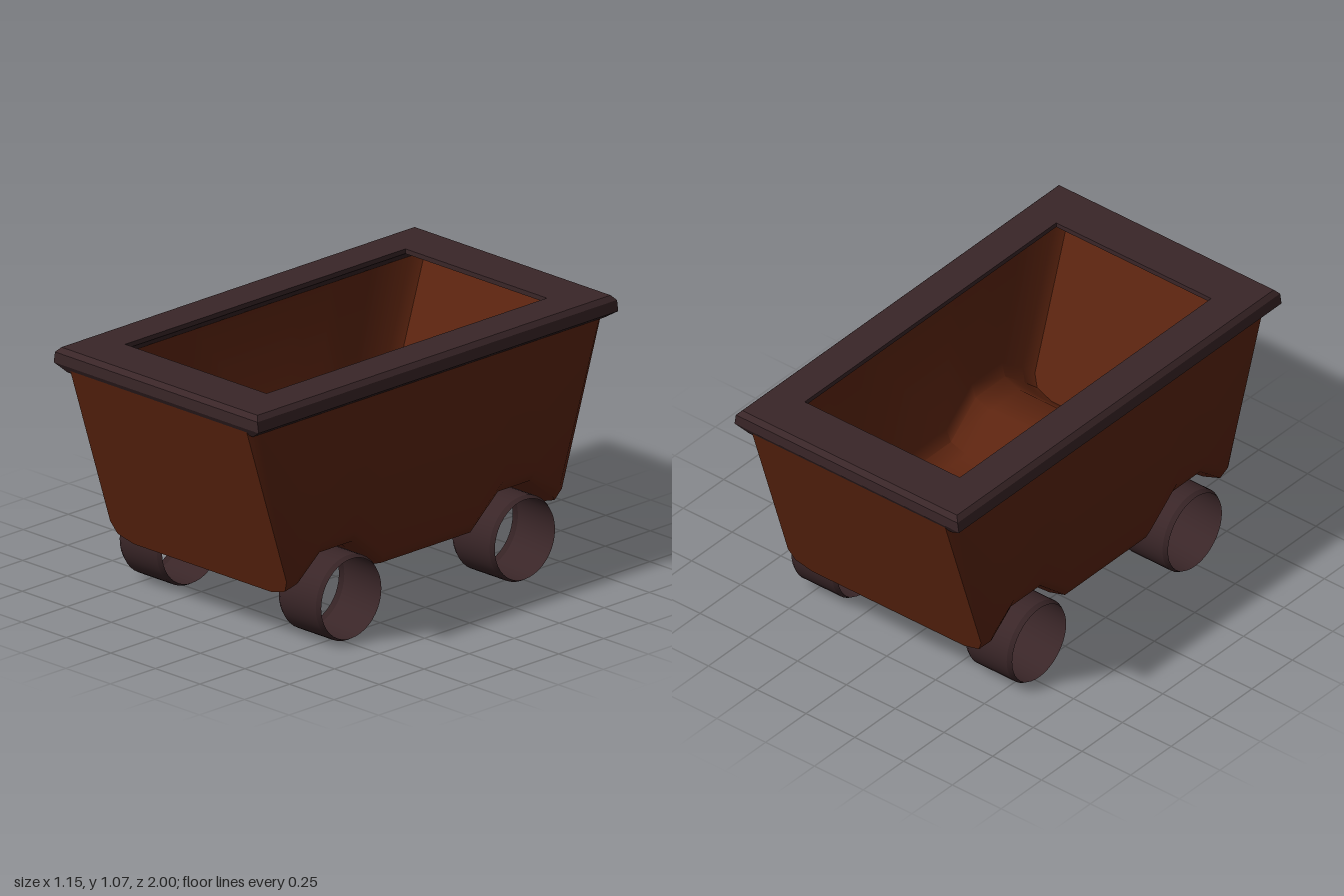
import * as THREE from 'three';
import { toCreasedNormals } from 'three/addons/utils/BufferGeometryUtils.js';

const bodyMat = new THREE.MeshStandardMaterial({ name: 'rustBrown', color: 0x5e2510, side: THREE.DoubleSide });
const ironMat = new THREE.MeshStandardMaterial({ name: 'darkIron', color: 0x3a2628, side: THREE.DoubleSide });

// Surface through rows of points; each row has the same number of points
function loft(rows, closedRow = false) {
  const n = rows[0].length, index = [];
  const cols = closedRow ? n : n - 1;
  for (let i = 0; i < rows.length - 1; i++) {
    for (let j = 0; j < cols; j++) {
      const a = i * n + j, b = a + n, c = i * n + (j + 1) % n, d = c + n;
      index.push(a, c, b, b, c, d);
    }
  }
  const g = new THREE.BufferGeometry();
  g.setAttribute('position', new THREE.Float32BufferAttribute(rows.flat(2), 3));
  g.setIndex(index);
  g.computeVertexNormals();
  return g;
}

// Flat convex panel as a triangle fan
function panel(points) {
  const g = new THREE.BufferGeometry(), index = [];
  for (let i = 1; i < points.length - 1; i++) index.push(0, i, i + 1);
  g.setAttribute('position', new THREE.Float32BufferAttribute(points.flat(), 3));
  g.setIndex(index);
  g.computeVertexNormals();
  return g;
}

function add(group, name, geometry, material) {
  const mesh = new THREE.Mesh(geometry, material);
  mesh.name = name;
  group.add(mesh);
  return mesh;
}

// U-shaped section: bottom z, bottom y, top z, half width
const TOP = 0.99;
function section([zb, yb, zt, w]) {
  const half = [[w, TOP], [w, yb + 0.075], [w - 0.025, yb + 0.025], [w - 0.105, yb]];
  const all = [...half, ...half.slice().reverse().map(([x, y]) => [-x, y])];
  return all.map(([x, y]) => [x, y, THREE.MathUtils.lerp(zb, zt, (y - yb) / (TOP - yb))]);
}

export function createModel() {
  const cart = new THREE.Group();
  cart.name = 'mineCart';

  // Tub: sections from front to back, with a raised arch over each axle
  const front = [
    [0.74, 0.228, 0.985, 0.495],
    [0.70, 0.26, 0.945, 0.525],
    [0.58, 0.36, 0.72, 0.525],
    [0.40, 0.36, 0.50, 0.525],
    [0.25, 0.228, 0.28, 0.525],
  ];
  const back = front.slice().reverse().map(([zb, yb, zt, w]) => [-zb, yb, -zt, w]);
  const rows = [...front, ...back].map(section);
  const tub = new THREE.Group();
  tub.name = 'tub';
  cart.add(tub);
  add(tub, 'tubShell', toCreasedNormals(loft(rows), 0.9), bodyMat);
  add(tub, 'frontWall', panel(rows[0].slice().reverse()), bodyMat);
  add(tub, 'backWall', panel(rows[rows.length - 1]), bodyMat);

  // Rim: rectangular loops (half x, half z, y) from the tub wall over the top to the inside
  const rimProfile = [
    [0.52, 0.975, 0.975], [0.575, 0.998, 1.01], [0.568, 0.998, 1.055], [0.55, 0.98, 1.075],
    [0.397, 0.778, 1.075], [0.397, 0.778, 1.055], [0.52, 0.975, 0.975],
  ];
  const rimRows = rimProfile.map(([x, z, y]) => [[x, y, z], [x, y, -z], [-x, y, -z], [-x, y, z]]).reverse();
  add(cart, 'rim', toCreasedNormals(loft(rimRows, true), 0.3), ironMat);

  // Wheels: open drums with slightly turned-in edges
  const wheelProfile = [[0.167, -0.119], [0.178, -0.1], [0.178, 0.1], [0.167, 0.119]]
    .map(([r, h]) => new THREE.Vector2(r, h));
  const wheelGeo = toCreasedNormals(new THREE.LatheGeometry(wheelProfile, 40).rotateZ(Math.PI / 2), 0.4);
  for (const [zName, z] of [['front', 0.477], ['back', -0.487]]) {
    for (const [xName, x] of [['Left', 0.449], ['Right', -0.444]]) {
      add(cart, `${zName}${xName}Wheel`, wheelGeo, ironMat).position.set(x, 0.18, z);
    }
  }
  return cart;
}
